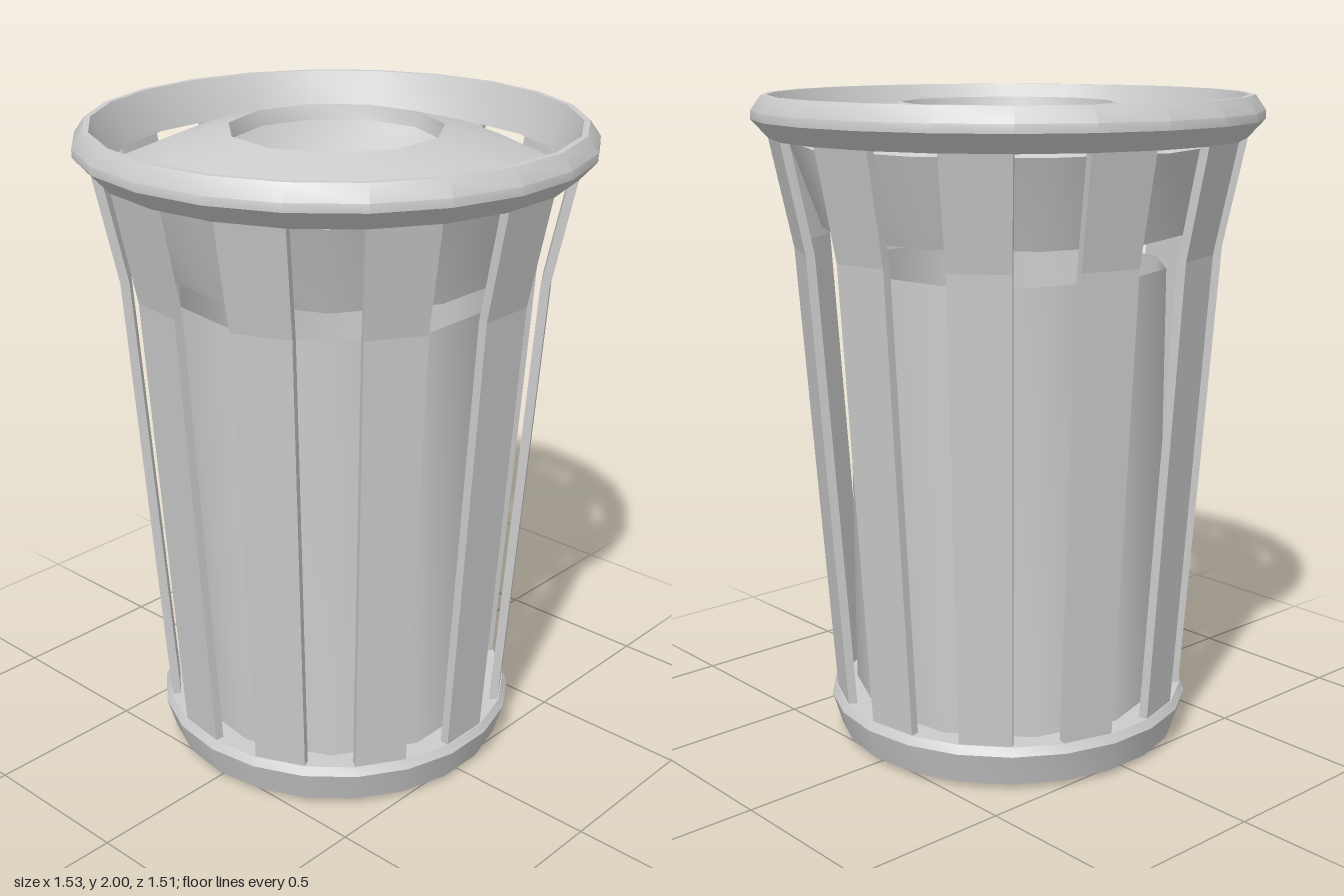
import * as THREE from 'three';
import { toCreasedNormals } from 'three/addons/utils/BufferGeometryUtils.js';

const SLATS = 11;

export function createModel() {
  const model = new THREE.Group();
  model.name = 'litterBin';
  const solid = new THREE.MeshStandardMaterial({ color: 0xcccccc });
  const thin = new THREE.MeshStandardMaterial({ color: 0xcccccc, side: THREE.DoubleSide });
  const faceted = new THREE.MeshStandardMaterial({ color: 0xcccccc, flatShading: true });

  // Turned part: profile of [radius, y], running up the outside
  function turned(name, profile, sides, start, material) {
    const points = profile.map(([r, y]) => new THREE.Vector2(r, y));
    const lathe = new THREE.LatheGeometry(points, sides, start);
    const mesh = new THREE.Mesh(toCreasedNormals(lathe, 0.62), material);
    mesh.name = name;
    model.add(mesh);
  }

  // Base pan with a slightly sagging underside
  turned('base', [
    [0, 0], [0.18, 0.004], [0.54, 0.015], [0.57, 0.115], [0.555, 0.14], [0, 0.14],
  ], SLATS * 2, Math.PI / 2, solid);

  // Open inner container
  turned('innerBin', [[0.49, 0.14], [0.49, 1.49]], SLATS, Math.PI, thin);

  // Domed lid with a tapered skirt and a lipped opening
  turned('lid', [
    [0.565, 1.6], [0.66, 1.86], [0.5, 1.925], [0.32, 1.975], [0.308, 1.93],
  ], SLATS, Math.PI, thin);

  // Top rim, a closed ring
  turned('rim', [
    [0.665, 1.875], [0.715, 1.875], [0.765, 1.93], [0.765, 1.955],
    [0.733, 2], [0.715, 2], [0.665, 1.875],
  ], SLATS * 2, Math.PI / 2, solid);

  // Slat: a box bent outwards near the top and widening upwards
  const levels = [
    { y: 0.13, r: 0.545, half: 0.08 },
    { y: 1.55, r: 0.642, half: 0.09 },
    { y: 1.885, r: 0.71, half: 0.1 },
  ];
  const slat = new THREE.BoxGeometry(2, 2, 1, 1, 2, 1);
  const pos = slat.attributes.position;
  for (let i = 0; i < pos.count; i++) {
    const level = levels[Math.round(pos.getY(i)) + 1];
    const z = level.r - (pos.getZ(i) < 0 ? 0.027 : 0);
    pos.setXYZ(i, pos.getX(i) * level.half, level.y, z);
  }
  slat.computeVertexNormals();

  const slats = new THREE.Group();
  slats.name = 'slats';
  for (let i = 0; i < SLATS; i++) {
    const mesh = new THREE.Mesh(slat, faceted);
    mesh.name = 'slat' + (i + 1);
    mesh.rotation.y = (i / SLATS) * Math.PI * 2;
    slats.add(mesh);
  }
  model.add(slats);
  return model;
}
